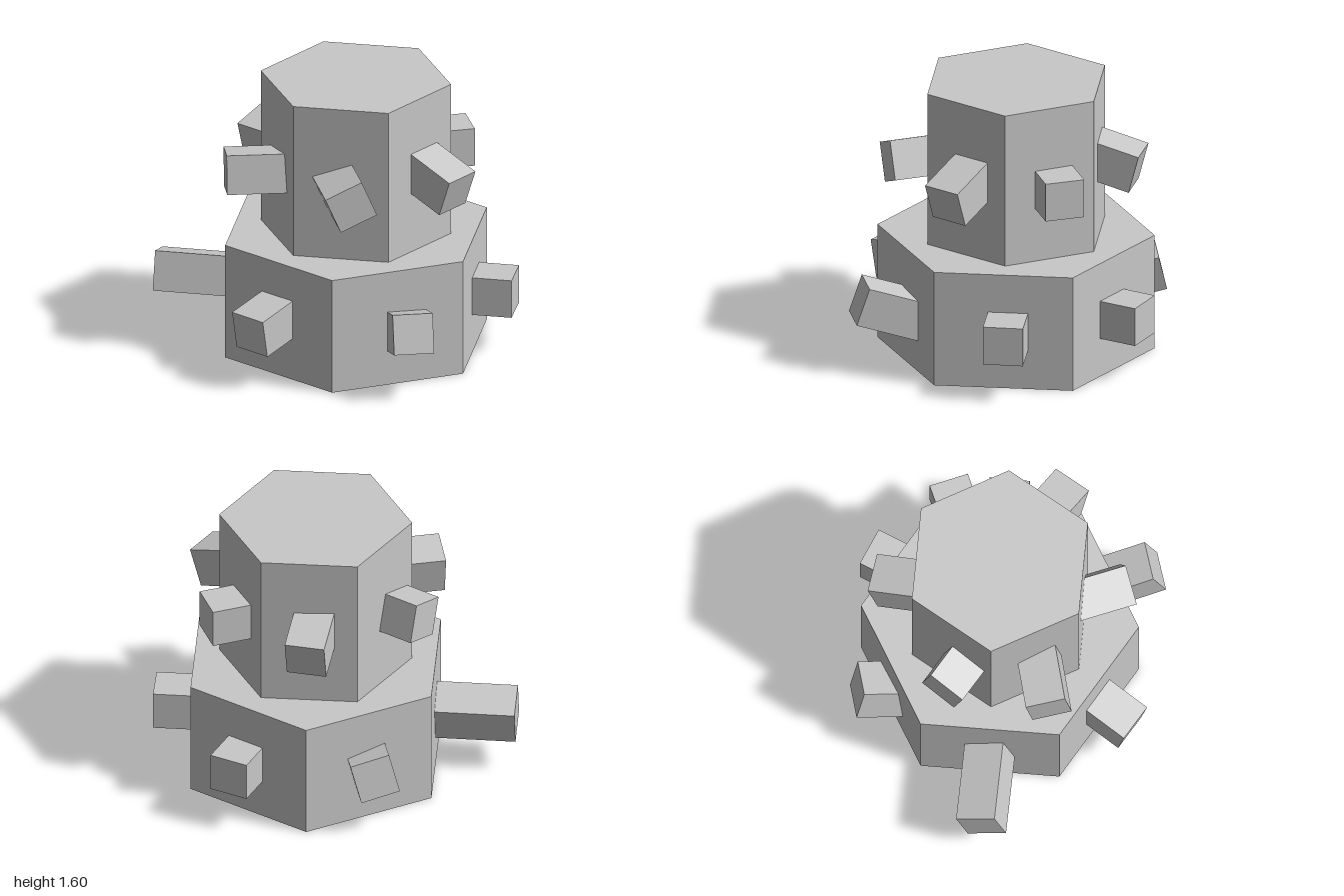
import * as THREE from 'three';

const CENTER_X = 0.014, CENTER_Z = 0.054, PEG = 0.227;

export function createModel() {
  const model = new THREE.Group();
  model.name = 'hexTowerWithPegs';
  const stone = new THREE.MeshStandardMaterial({ color: 0xc8c8c8, flatShading: true });
  stone.name = 'light grey';

  // Stacked six-sided tiers
  const tier = (name, radius, bottom, top, turn) => {
    const mesh = new THREE.Mesh(new THREE.CylinderGeometry(radius, radius, top - bottom, 6), stone);
    mesh.position.set(CENTER_X, (top + bottom) / 2, CENTER_Z);
    mesh.rotation.y = turn;
    mesh.name = name;
    model.add(mesh);
  };
  tier('lowerTier', 0.785, 0, 0.687, 0.01);
  tier('upperTier', 0.545, 0.687, 1.6, Math.PI / 6);

  // Square peg: centre of its outer end, outward axis, up edge and length into the tier
  const peg = (name, end, axis, up, length = 0.42) => {
    const z = new THREE.Vector3(...axis).normalize();
    const x = new THREE.Vector3(...up).cross(z).normalize();
    const y = new THREE.Vector3().crossVectors(z, x);
    const geometry = new THREE.BoxGeometry(PEG, PEG, length).translate(0, 0, -length / 2);
    const mesh = new THREE.Mesh(geometry, stone);
    mesh.quaternion.setFromRotationMatrix(new THREE.Matrix4().makeBasis(x, y, z));
    mesh.position.set(...end);
    mesh.name = name;
    model.add(mesh);
  };
  const UP = [0, 1, 0];

  // Lower ring, one peg per face
  peg('lowerLeftPeg', [0.905, 0.345, 0.038], [0.99, 0, -0.13], UP);
  peg('lowerRightPeg', [-0.905, 0.323, 0.05], [-0.985, -0.175, 0], UP);
  peg('lowerFrontLeftPeg', [0.493, 0.345, 0.825], [0.49, 0, 0.87], UP);
  peg('lowerFrontRightPeg', [-0.467, 0.415, 0.888], [-0.634, 0.325, 0.7], UP, 0.6);
  peg('lowerBackLeftPeg', [0.483, 0.368, -0.675], [0.73, 0.23, -0.65], [0, 0.215, 0.075]);
  peg('lowerBackRightPeg', [-0.553, 0.34, -0.93], [-0.488, 0, -0.873], [0.055, 0.215, -0.035], 0.65);

  // Upper ring, one peg per face
  peg('upperFrontPeg', [0.05, 1.078, 0.773], [0, -0.33, 0.944], UP);
  peg('upperBackPeg', [-0.073, 1.123, -0.63], [0, 0, -1], [-0.06, 0.22, 0]);
  peg('upperFrontLeftPeg', [0.608, 1.12, 0.393], [0.808, 0, 0.59], UP);
  peg('upperBackLeftPeg', [0.617, 1.097, -0.29], [0.89, -0.25, -0.36], UP);
  peg('upperFrontRightPeg', [-0.555, 1.113, 0.503], [-0.597, -0.02, 0.8], [-0.075, 0.21, -0.05]);
  peg('upperBackRightPeg', [-0.623, 1.118, -0.37], [-0.7, 0, -0.7], [0.025, 0.225, -0.03]);

  return model;
}
